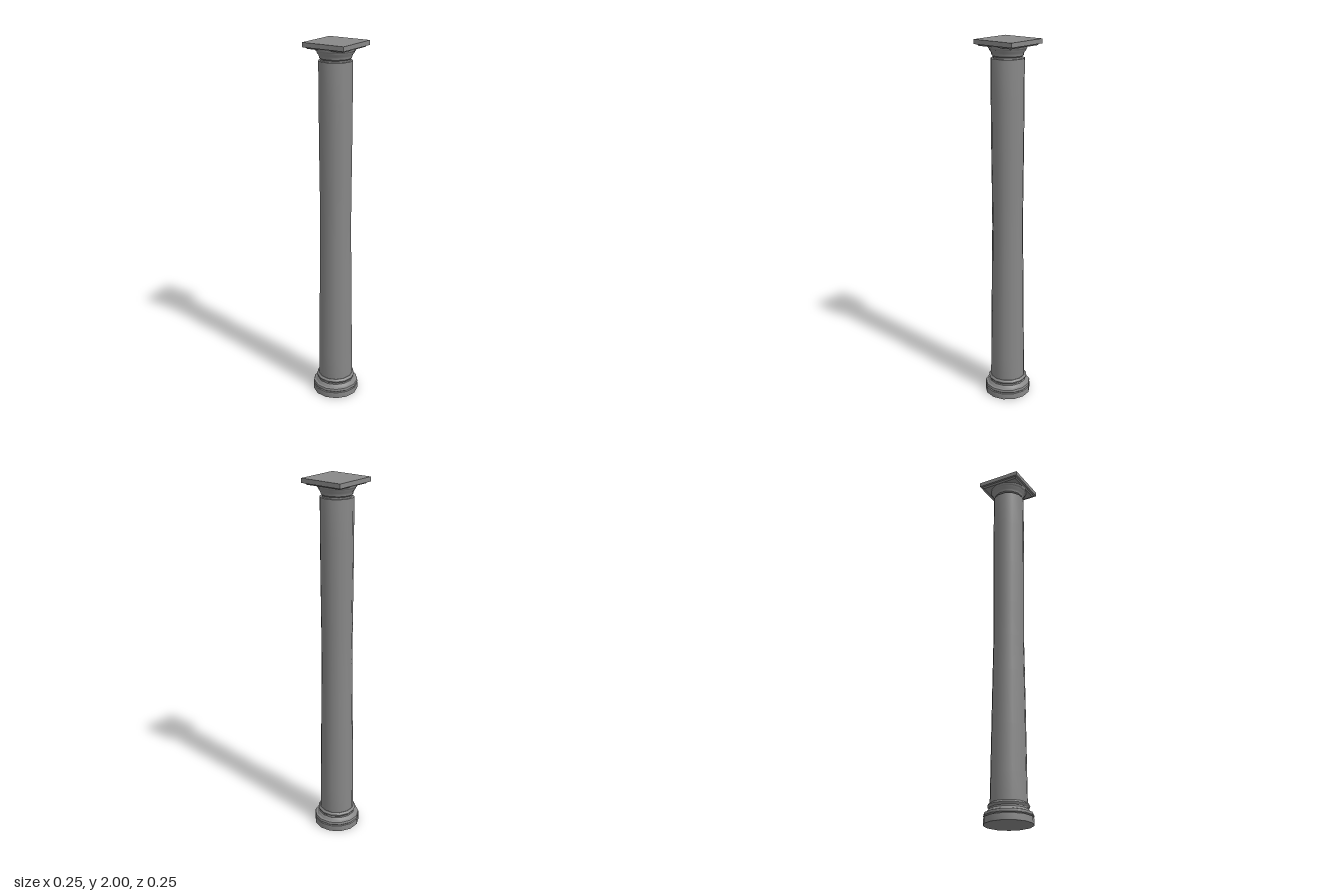
import * as THREE from 'three';
import { toCreasedNormals } from 'three/addons/utils/BufferGeometryUtils.js';

const SIDES = 13;

export function createModel() {
  const group = new THREE.Group();
  const material = new THREE.MeshStandardMaterial({ color: 0x888888 });

  function add(name, geometry, x, y, z) {
    const mesh = new THREE.Mesh(geometry, material);
    mesh.name = name;
    mesh.position.set(x, y, z);
    group.add(mesh);
  }

  // Turned part from [radius, height] pairs, bottom to top, with a corner on +x
  function turned(name, profile) {
    const points = profile.map(([r, y]) => new THREE.Vector2(r, y));
    const geometry = new THREE.LatheGeometry(points, SIDES, Math.PI / 2);
    add(name, toCreasedNormals(geometry, 0.6), -0.002, 0, 0);
  }

  // Stepped foot with two rounded mouldings
  turned('base', [
    [0, 0], [0.128, 0], [0.128, 0.034], [0.122, 0.037],
    [0.127, 0.042], [0.128, 0.049], [0.125, 0.056], [0.114, 0.06],
    [0.109, 0.067], [0.102, 0.074], [0.101, 0.082], [0.106, 0.088],
    [0.108, 0.094], [0.105, 0.1], [0.098, 0.105], [0, 0.105],
  ]);

  // Shaft, slightly waisted towards the middle
  turned('shaft', [
    [0.096, 0.1], [0.094, 0.25], [0.091, 0.5], [0.087, 0.8], [0.084, 1.0],
    [0.085, 1.2], [0.087, 1.45], [0.088, 1.7], [0.088, 1.906], [0, 1.906],
  ]);

  // Capital: narrow neck, ring and flare
  turned('capital', [
    [0.077, 1.9], [0.077, 1.914], [0.083, 1.92], [0.084, 1.927],
    [0.087, 1.936], [0.095, 1.946], [0.097, 1.953], [0.1, 1.955],
    [0.104, 1.962], [0.104, 1.972],
  ]);

  // Square slab on top, with a sloped step underneath
  const step = new THREE.CylinderGeometry(0.225 / Math.SQRT2, 0.21 / Math.SQRT2, 0.01, 4);
  step.rotateY(Math.PI / 4);
  add('slabStep', toCreasedNormals(step, 0.5), -0.0005, 1.972, -0.004);
  add('topSlab', new THREE.BoxGeometry(0.245, 0.024, 0.245), -0.0005, 1.988, -0.004);

  return group;
}
